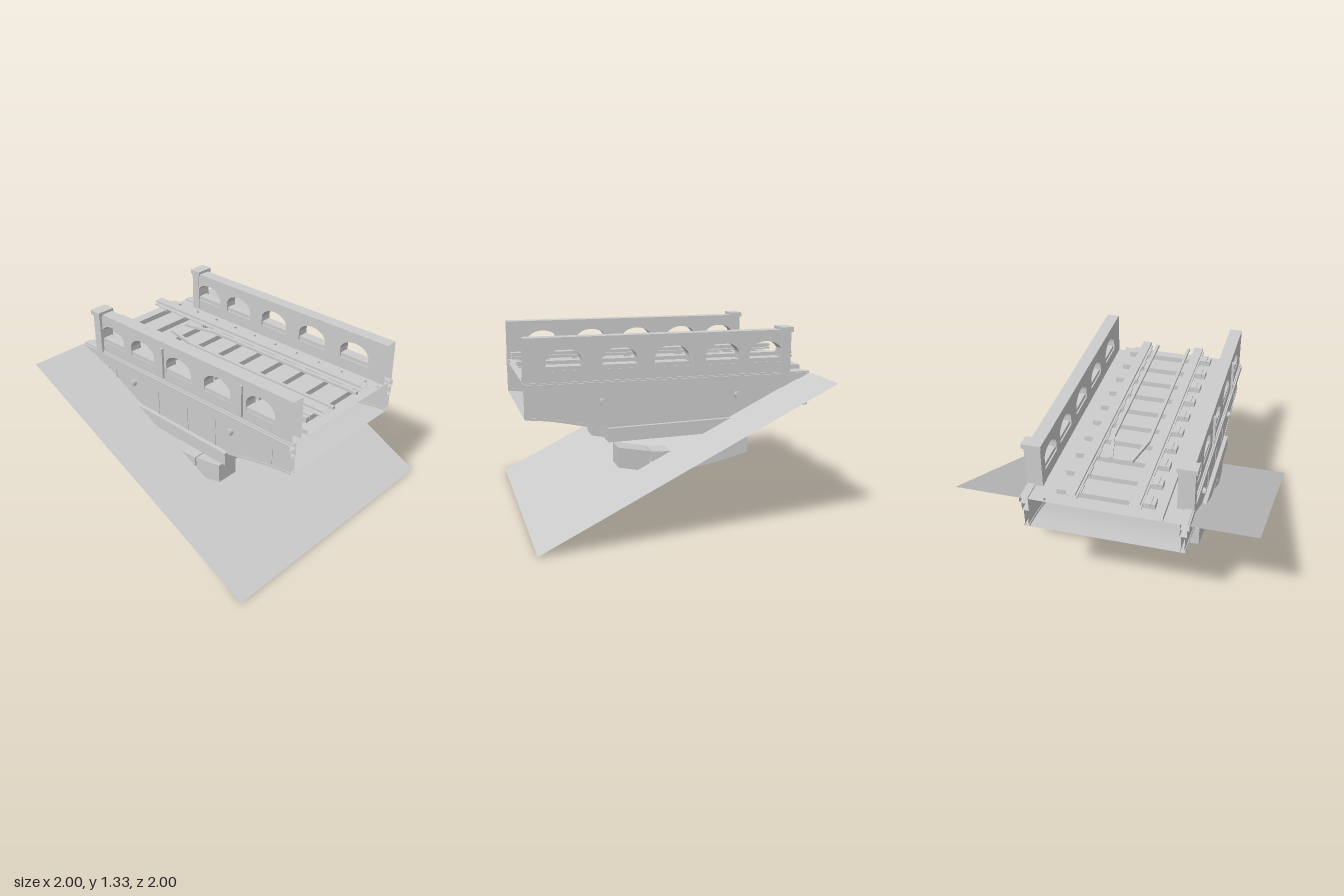
import * as THREE from 'three';

export function createModel() {
  const model = new THREE.Group();
  const stone = new THREE.MeshStandardMaterial({ color: 0xcccccc, side: THREE.DoubleSide });
  stone.name = 'pale grey';

  const add = (name, geo, parent = model) => {
    const mesh = new THREE.Mesh(geo, stone);
    mesh.name = name;
    parent.add(mesh);
    return mesh;
  };

  // Removes the end faces at z = 1 and z = -1, so long parts stay open like hollow sections
  const openEnds = (source) => {
    const geo = source.index ? source.toNonIndexed() : source;
    const p = geo.attributes.position, kept = [];
    for (let i = 0; i < p.count; i += 3) {
      const z = [0, 1, 2].map((k) => p.getZ(i + k));
      if (z.every((v) => v > 0.999) || z.every((v) => v < -0.999)) continue;
      for (let k = 0; k < 3; k++) kept.push(p.getX(i + k), p.getY(i + k), p.getZ(i + k));
    }
    const out = new THREE.BufferGeometry();
    out.setAttribute('position', new THREE.Float32BufferAttribute(kept, 3));
    out.computeVertexNormals();
    return out;
  };

  const box = (x0, x1, y0, y1, z0, z1) =>
    new THREE.BoxGeometry(x1 - x0, y1 - y0, z1 - z0)
      .translate((x0 + x1) / 2, (y0 + y1) / 2, (z0 + z1) / 2);

  // Side profile in (z, y), extruded across x
  const prism = (shape, x0, x1) =>
    new THREE.ExtrudeGeometry(shape, { depth: x1 - x0, bevelEnabled: false, curveSegments: 12 })
      .rotateY(-Math.PI / 2).translate(x1, 0, 0);
  const polygon = (points) => new THREE.Shape(points.map((p) => new THREE.Vector2(...p)));

  // Haunch curves of the underside, front and back
  const curve = (points) =>
    new THREE.CatmullRomCurve3(points.map(([z, y]) => new THREE.Vector3(0, y, z)))
      .getPoints(10).map((v) => [v.z, v.y]);
  const frontCurve = curve([[1, 0.785], [0.84, 0.768], [0.65, 0.73], [0.45, 0.685]]);
  const backCurve = curve([[-0.55, 0.705], [-0.7, 0.742], [-0.85, 0.772], [-1, 0.785]]);

  // Soffits
  for (const [name, line] of [['frontSoffit', frontCurve], ['backSoffit', backCurve]]) {
    const geo = new THREE.PlaneGeometry(1.02, 1, 1, line.length - 1);
    const p = geo.attributes.position;
    line.forEach(([z, y], i) => {
      for (let k = 0; k < 2; k++) p.setXYZ(i * 2 + k, k ? 0.51 : -0.51, y - 0.017, z);
    });
    geo.computeVertexNormals();
    add(name, geo);
  }

  // Deck: wide shelf with a raised track bed
  add('deckShelf', new THREE.PlaneGeometry(1.02, 2).rotateX(-Math.PI / 2).translate(0, 1, 0));
  add('trackBed', openEnds(box(-0.39, 0.39, 1, 1.03, -1, 1)));

  // Support slab, slightly sloped
  add('supportSlab', prism(polygon(
    [[0.45, 0.59], [-0.55, 0.615], [-0.55, 0.71], [0.45, 0.685]]), -0.565, 0.565));

  // Parapet profile with arched openings
  const openings = [0.735, 0.36, 0, -0.36, -0.675];
  const parapetShape = polygon([[-0.82, 1], [1, 1], [1, 1.305], [-0.82, 1.305]]);
  for (const z of openings) {
    const hole = new THREE.Path();
    hole.moveTo(z - 0.12, 1.085);
    hole.lineTo(z - 0.12, 1.145);
    hole.absellipse(z, 1.145, 0.12, 0.085, Math.PI, 0, true);
    hole.lineTo(z + 0.12, 1.085);
    hole.closePath();
    parapetShape.holes.push(hole);
  }

  // Each side is built at +x, then mirrored by rebuilding at -x
  for (const s of [1, -1]) {
    const side = new THREE.Group();
    side.name = s > 0 ? 'leftSide' : 'rightSide';
    model.add(side);
    const span = (a, b) => (s > 0 ? [a, b] : [-b, -a]);
    const block = (name, a, b, ...r) => add(name, box(...span(a, b), ...r), side);
    const rail = (name, a, b, y0, y1) =>
      add(name, openEnds(box(...span(a, b), y0, y1, -1, 1)), side);

    // Spandrel wall and rims under it
    add('spandrelWall', openEnds(prism(polygon(
      [[-1, 0.9], [1, 0.9], ...frontCurve, ...backCurve.slice(0, -1), [-1, 0.785]]),
    ...span(0.51, 0.535))), side);
    for (const line of [frontCurve, backCurve]) {
      const lower = line.map(([z, y]) => [z, y - 0.017]).reverse();
      add('archRim', openEnds(prism(polygon([...line, ...lower]), ...span(0.505, 0.54))), side);
    }
    for (const [z, y] of [[0.835, 0.775], [0.335, 0.69], [0.07, 0.69], [-0.22, 0.7],
      [-0.67, 0.74], [-0.75, 0.757]])
      block('wallSeam', 0.535, 0.539, y, 0.9, z - 0.004, z + 0.004);

    // Cornice
    rail('lowerCornice', 0.5, 0.547, 0.9, 0.957);
    rail('upperCornice', 0.5, 0.56, 0.957, 1);
    rail('corniceCap', 0.5, 0.55, 1, 1.01);

    // Parapet, sills, pilasters and end post
    add('parapet', openEnds(prism(parapetShape, ...span(0.45, 0.54))), side);
    for (const z of openings) block('sill', 0.46, 0.535, 1.085, 1.113, z - 0.119, z + 0.119);
    for (const z of [0.58, -0.15]) block('pilaster', 0.54, 0.557, 1.03, 1.26, z - 0.009, z + 0.009);
    block('post', 0.448, 0.56, 1, 1.295, -0.852, -0.786);
    block('postCap', 0.44, 0.573, 1.292, 1.325, -0.864, -0.773);

    // Hexagonal bolts
    for (const z of [0.48, -0.47]) {
      add('bolt', new THREE.CylinderGeometry(0.024, 0.024, 0.03, 6)
        .rotateZ(Math.PI / 2).translate(s * 0.55, 0.866, z), side);
      add('boltTip', new THREE.CylinderGeometry(0.014, 0.014, 0.036, 8)
        .rotateZ(Math.PI / 2).translate(s * 0.552, 0.866, z), side);
    }

    // Running rail
    rail('railFoot', 0.167, 0.252, 1.068, 1.078);
    rail('railWeb', 0.195, 0.225, 1.078, 1.09);
    rail('railHead', 0.176, 0.243, 1.09, 1.106);

    // Guard rail with a tapered end
    block('guardRail', 0.114, 0.136, 1.07, 1.09, -0.3, 1);
    const taper = add('guardRailTaper', new THREE.BoxGeometry(0.022, 0.02, 0.258), side);
    taper.position.set(s * 0.098, 1.08, -0.425);
    taper.rotation.y = s * Math.atan2(0.055, 0.25);

    // Arch stones below
    for (const [z0, z1, t0, t1, b0, b1] of [
      [0.38, 0.157, 0.545, 0.505, 0.405, 0.36], [0.145, -0.08, 0.5, 0.493, 0.36, 0.354],
      [-0.092, -0.315, 0.493, 0.53, 0.355, 0.392], [-0.325, -0.55, 0.535, 0.59, 0.395, 0.45]])
      add('archStone', prism(polygon([[z0, b0], [z1, b1], [z1, t1], [z0, t0]]),
        ...span(0.382, 0.548)), side);
  }

  // Sleepers with rail chairs
  for (let i = 0; i < 10; i++) {
    const z = -0.9 + i * 0.2;
    add('sleeper', box(-0.325, 0.325, 1.03, 1.068, z - 0.035, z + 0.035));
    for (const s of [1, -1])
      add('railChair', box(-0.07, 0.07, 1.055, 1.076, z - 0.043, z + 0.043)
        .translate(s * 0.228, 0, 0));
  }

  // Sloping ground sheet
  const ground = new THREE.PlaneGeometry(2, Math.sqrt(5))
    .rotateX(-Math.PI / 2 + Math.atan(0.5)).translate(0, 0.5, 0);
  add('slopingSheet', ground);

  return model;
}
